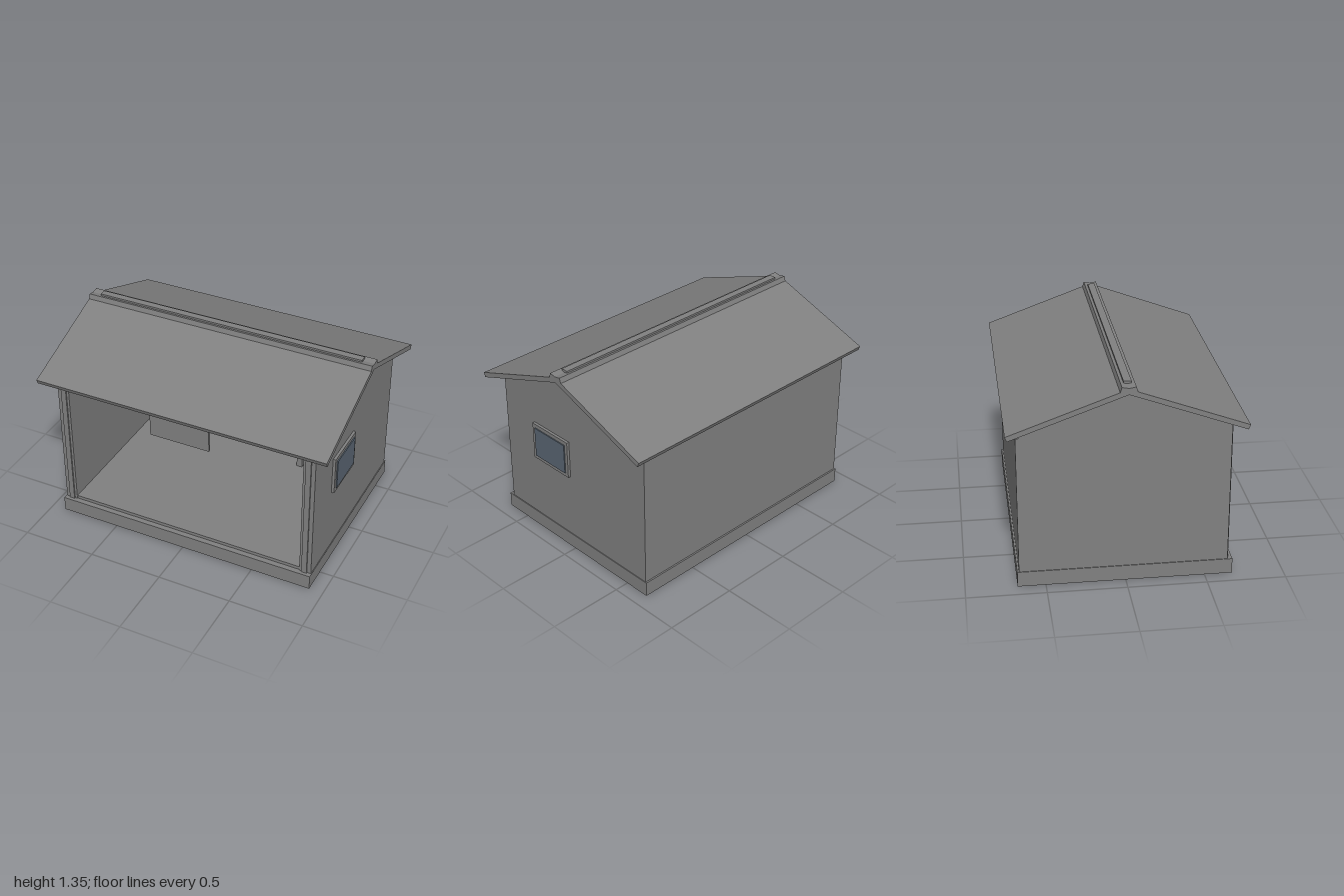
import * as THREE from 'three';

export function createModel() {
  const model = new THREE.Group();
  const grey = new THREE.MeshStandardMaterial({ color: 0x808080 });
  grey.name = 'plain grey';
  const blue = new THREE.MeshStandardMaterial({ color: 0x5a6673 });
  blue.name = 'window blue';

  const add = (name, geometry, material = grey) => {
    const mesh = new THREE.Mesh(geometry, material);
    mesh.name = name;
    model.add(mesh);
    return mesh;
  };
  // Box given by its lower and upper limits on each axis
  const box = (name, [x0, x1], [y0, y1], [z0, z1], material) =>
    add(name, new THREE.BoxGeometry(x1 - x0, y1 - y0, z1 - z0), material)
      .position.set((x0 + x1) / 2, (y0 + y1) / 2, (z0 + z1) / 2);
  // Cross-section in (z, y), extruded along x
  const section = (name, points, x0, x1) => {
    const shape = new THREE.Shape(points.map(([z, y]) => new THREE.Vector2(z, y)));
    const geometry = new THREE.ExtrudeGeometry(shape, { depth: x1 - x0, bevelEnabled: false });
    geometry.rotateY(-Math.PI / 2).translate(x1, 0, 0);
    add(name, geometry);
  };

  // Base and floor
  box('foundation', [-0.905, 0.905], [0, 0.1], [-0.676, 0.676]);
  box('floor', [-0.82, 0.82], [0.1, 0.122], [-0.64, 0.64]);

  // Walls, with the gables rising to the ridge
  const gable = [[-0.645, 0.1], [0.645, 0.1], [0.645, 1.058], [0, 1.292], [-0.645, 1.058]];
  section('leftWall', gable, 0.82, 0.9);
  section('rightWall', gable, -0.9, -0.82);
  box('backWall', [-0.9, 0.9], [0.1, 1.0], [-0.665, -0.64]);

  // Front posts
  for (const s of [-1, 1]) {
    box('frontPost', [s * 0.855 - 0.018, s * 0.855 + 0.018], [0.1, 1.05], [0.62, 0.654]);
  }

  // Roof and ridge
  section('roof', [
    [-0.718, 1.03], [0, 1.29], [0.718, 1.03],
    [0.73, 1.06], [0, 1.325], [-0.73, 1.06],
  ], -1, 1);
  section('ridgeCap', [
    [-0.055, 1.3], [0.055, 1.3], [0.043, 1.338], [0, 1.33], [-0.043, 1.338],
  ], -1, 1);
  box('ridgeBar', [-0.925, 0.925], [1.32, 1.347], [-0.024, 0.024]);

  // Side window
  box('windowFrame', [0.9, 0.918], [0.55, 0.81], [0.023, 0.36]);
  box('windowPane', [0.917, 0.925], [0.577, 0.784], [0.047, 0.334], blue);

  // Sign under the front eave
  box('signBoard', [-0.208, 0.203], [0.853, 1.002], [0.664, 0.679]);

  // Table with panel legs
  box('tableTop', [-0.452, 0.452], [0.385, 0.415], [-0.57, -0.3]);
  for (const s of [-1, 1]) {
    box('tableLeg', [s * 0.398 - 0.02, s * 0.398 + 0.02], [0.122, 0.385], [-0.55, -0.32]);
  }

  // Wall shelf and stacked boxes
  box('shelf', [-0.82, -0.27], [0.712, 0.732], [-0.64, -0.46]);
  box('lowerBox', [0.542, 0.772], [0.122, 0.352], [-0.6, -0.37]);
  box('upperBox', [0.555, 0.76], [0.37, 0.573], [-0.59, -0.385]);

  return model;
}
